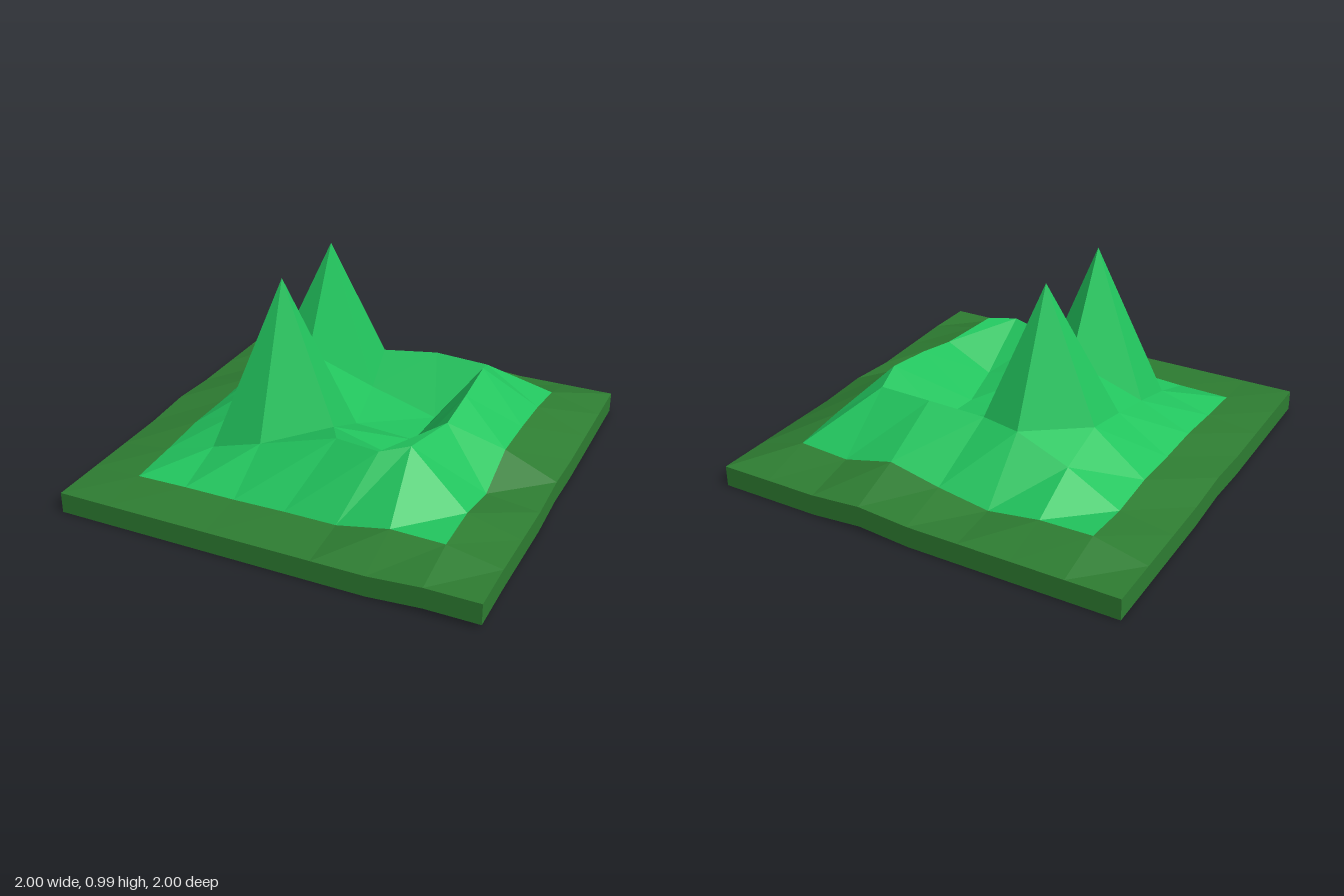
import * as THREE from 'three';

// Heights on a 9 x 9 grid: rows run back to front, columns from -x to +x
const HEIGHTS = [
  [.10, .10, .10, .10, .10, .12, .10, .10, .10],
  [.10, .16, .155, .12, .16, .215, .155, .17, .10],
  [.10, .14, .28, .385, .38, .405, .40, .205, .10],
  [.10, .16, .355, .99, .24, .175, .445, .22, .10],
  [.115, .15, .31, .52, .19, .17, .415, .225, .115],
  [.10, .15, .26, .99, .295, .20, .38, .13, .10],
  [.10, .13, .20, .275, .375, .395, .405, .175, .11],
  [.10, .115, .12, .12, .125, .125, .175, .17, .12],
  [.10, .10, .10, .10, .10, .10, .10, .12, .12],
];

// Grid points pushed sideways around the basin, as 'row,column': [x, z]
const SHIFTED = {
  '2,4': [-.05, -.45], '2,5': [.22, -.48], '2,6': [.49, -.465],
  '3,4': [-.05, -.30], '3,5': [.31, -.24], '3,6': [.515, -.33],
  '4,5': [.30, 0], '4,6': [.52, -.08],
  '5,5': [.35, .25], '5,6': [.515, .14],
  '6,4': [.12, .47], '6,5': [.35, .53], '6,6': [.465, .445],
};
const WALL = 0.1;

function gridPoint(r, c) {
  const [x, z] = SHIFTED[`${r},${c}`] ?? [c / 4 - 1, r / 4 - 1];
  return [x, HEIGHTS[r][c], z];
}

// Makes one flat-shaded mesh from a list of four-cornered faces
function quadMesh(name, quads, color) {
  const positions = [];
  for (const [a, b, c, d] of quads) positions.push(...a, ...b, ...d, ...b, ...c, ...d);
  const geometry = new THREE.BufferGeometry();
  geometry.setAttribute('position', new THREE.Float32BufferAttribute(positions, 3));
  geometry.computeVertexNormals();
  const material = new THREE.MeshStandardMaterial({ color, flatShading: true, side: THREE.DoubleSide });
  const mesh = new THREE.Mesh(geometry, material);
  mesh.name = name;
  return mesh;
}

export function createModel() {
  const group = new THREE.Group();
  group.name = 'terrainTile';

  // Ground cells: the outer ring is the border, the rest is the hills
  const hills = [], border = [], walls = [];
  for (let r = 0; r < 8; r++) {
    for (let c = 0; c < 8; c++) {
      const edge = r === 0 || c === 0 || r === 7 || c === 7;
      (edge ? border : hills).push([
        gridPoint(r, c), gridPoint(r + 1, c), gridPoint(r + 1, c + 1), gridPoint(r, c + 1),
      ]);
    }
  }

  // Skirt hanging down from the outer edge, open underneath
  const drop = ([x, y, z]) => [x, y - WALL, z];
  const addWall = (a, b) => walls.push([a, drop(a), drop(b), b]);
  for (let i = 0; i < 8; i++) {
    addWall(gridPoint(8, i), gridPoint(8, i + 1));
    addWall(gridPoint(0, i + 1), gridPoint(0, i));
    addWall(gridPoint(i + 1, 8), gridPoint(i, 8));
    addWall(gridPoint(i, 0), gridPoint(i + 1, 0));
  }

  group.add(
    quadMesh('hills', hills, 0x22c55e),
    quadMesh('border', border, 0x2e7d32),
    quadMesh('sideWalls', walls, 0x2e7d32),
  );
  return group;
}
